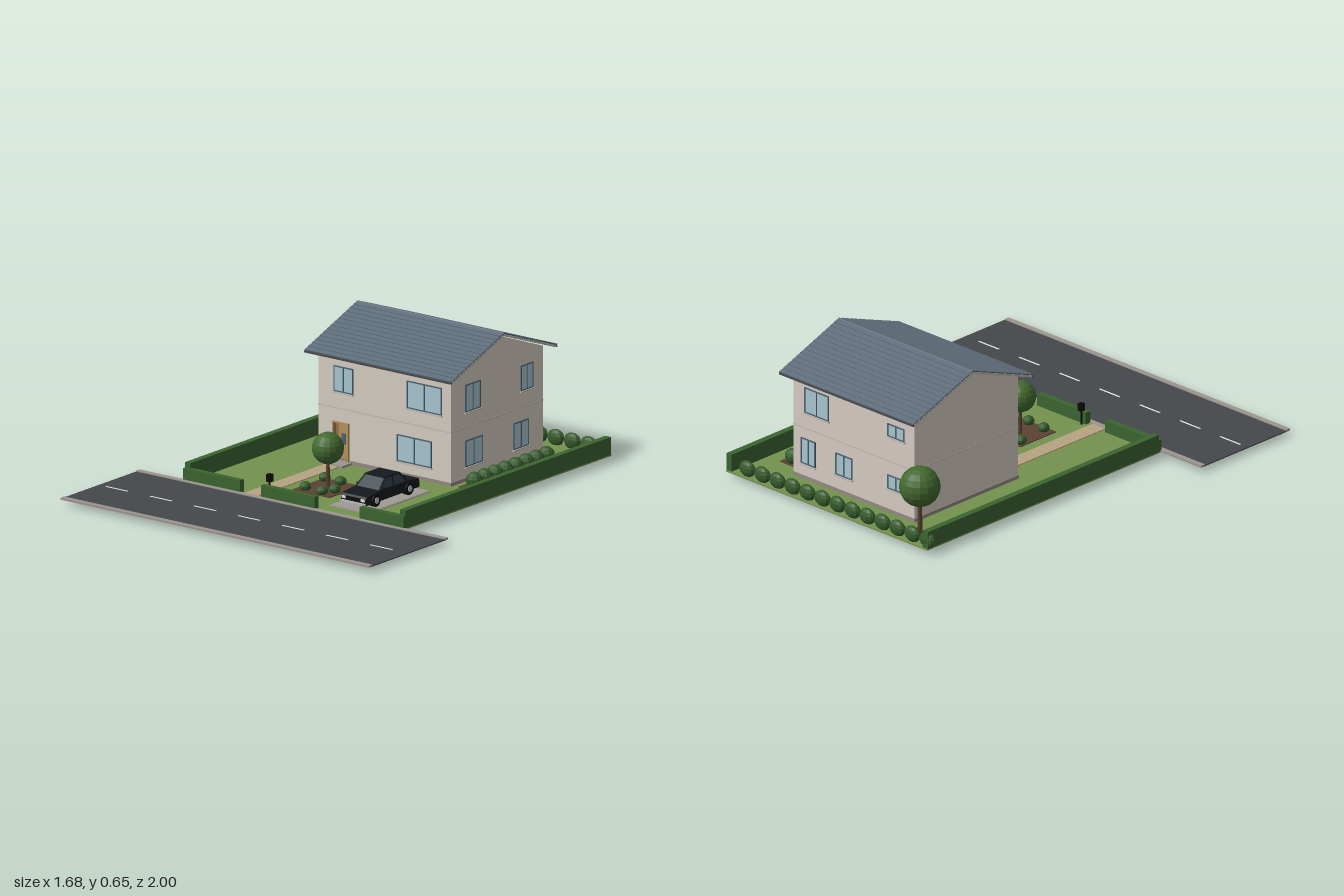
import * as THREE from 'three';

const mat = (color, flatShading = false) => new THREE.MeshStandardMaterial({ color, flatShading });
const M = {
  wall: mat(0xd6cdc3), trim: mat(0xc2bab0), stone: mat(0x948b84), roof: mat(0x5f6e7c), eave: mat(0x4a4a4c),
  glass: mat(0xa9c6d2), frame: mat(0x4d6472), wood: mat(0xb8935f), darkWood: mat(0x6b4a2e),
  grass: mat(0x74924f), hedge: mat(0x3b6430), leaf: mat(0x42692f, true), bush: mat(0x365c2c, true),
  trunk: mat(0x5a4230), soil: mat(0x5c4331), path: mat(0xb7a582), asphalt: mat(0x45484a),
  curb: mat(0x9c968f), line: mat(0xe4e4e0), pad: mat(0xa09a94), car: mat(0x15191d), carGlass: mat(0x35424c),
  tyre: mat(0x0c0c0d), chrome: mat(0xb8bcc0),
};

const add = (parent, name, geometry, material, x = 0, y = 0, z = 0) => {
  const mesh = new THREE.Mesh(geometry, material);
  mesh.name = name;
  mesh.position.set(x, y, z);
  parent.add(mesh);
  return mesh;
};
// box from its limits on each axis
const block = (parent, name, material, [x0, x1], [y0, y1], [z0, z1]) =>
  add(parent, name, new THREE.BoxGeometry(x1 - x0, y1 - y0, z1 - z0), material,
    (x0 + x1) / 2, (y0 + y1) / 2, (z0 + z1) / 2);
const section = (parent, name, parentPoints) => {
  const g = new THREE.Group();
  g.name = name;
  parent.add(g);
  return g;
};
// outline in (z, y) extruded along x, centred on x
const extrudeX = (points, width) => {
  const shape = new THREE.Shape(points.map(([z, y]) => new THREE.Vector2(-z, y)));
  return new THREE.ExtrudeGeometry(shape, { depth: width, bevelEnabled: false })
    .translate(0, 0, -width / 2).rotateY(Math.PI / 2);
};

const G = 0.026; // ground level

// window in its own plane facing +z, from u0..u1 and y0..y1
function addWindow(wall, u0, u1, y0, y1, panes = 2) {
  const w = section(wall, 'window');
  const t = 0.005;
  block(w, 'glass', M.glass, [u0, u1], [y0, y1], [-0.004, 0.002]);
  for (let i = 0; i <= panes; i++) {
    const u = u0 + (u1 - u0) * i / panes;
    block(w, 'windowPost', M.frame, [u - t / 2, u + t / 2], [y0, y1], [-0.004, 0.005]);
  }
  for (const y of [y0, y1]) block(w, 'windowRail', M.frame, [u0 - t / 2, u1 + t / 2], [y - t / 2, y + t / 2], [-0.004, 0.005]);
  block(w, 'windowSill', M.trim, [u0 - 0.006, u1 + 0.006], [y0 - 0.009, y0 - 0.003], [-0.004, 0.009]);
}

function buildHouse(root) {
  const house = section(root, 'house');
  house.position.z = -0.5;
  block(house, 'foundation', M.stone, [-0.36, 0.36], [0, 0.04], [-0.32, 0.32]);
  block(house, 'plinth', M.stone, [-0.363, 0.363], [G, 0.042], [-0.323, 0.323]);
  add(house, 'walls', extrudeX([[-0.32, 0.03], [0.32, 0.03], [0.32, 0.508], [0, 0.628], [-0.32, 0.508]], 0.72), M.wall);
  block(house, 'floorBand', M.trim, [-0.3615, 0.3615], [0.263, 0.268], [-0.3215, 0.3215]);

  // roof: underside slab, light gable boards and overlapping tile courses
  const roof = section(house, 'roof');
  const chevron = (d) => [[-0.364, 0.497 + d], [0, 0.63 + d], [0.364, 0.497 + d], [0.364, 0.506 + d], [0, 0.64 + d], [-0.364, 0.506 + d]].reverse();
  add(roof, 'roofDeck', extrudeX(chevron(0), 0.79), M.eave);
  for (const s of [-1, 1]) add(roof, 'gableBoard', extrudeX(chevron(0.0005), 0.007), M.trim, s * 0.3965);
  const slope = Math.atan2(0.134, 0.364), rows = 14, run = 0.388 / rows;
  for (const s of [-1, 1]) {
    const side = section(roof, 'roofSlope');
    for (let i = 0; i < rows; i++) {
      const f = (i + 0.5) / rows;
      const tile = add(side, 'tileCourse', new THREE.BoxGeometry(0.8, 0.005, run * 1.12), M.roof,
        0, 0.6435 - 0.134 * f, s * 0.366 * f);
      tile.rotation.x = s * (slope - 0.09);
    }
  }
  const cap = add(roof, 'ridgeCap', new THREE.CylinderGeometry(0.007, 0.007, 0.8, 8), M.roof, 0, 0.64, 0);
  cap.rotation.z = Math.PI / 2;
  for (const s of [-1, 1]) block(roof, 'gutter', M.eave, [-0.4, 0.4], [0.499, 0.507], [s * 0.365 - 0.004, s * 0.365 + 0.004]);

  const wallPlane = (name, x, z, turn) => {
    const g = section(house, name);
    g.position.set(x, 0, z);
    g.rotation.y = turn;
    return g;
  };
  const front = wallPlane('frontWall', 0, 0.32, 0);
  addWindow(front, -0.273, -0.173, 0.342, 0.452);
  addWindow(front, 0.126, 0.31, 0.337, 0.455);
  addWindow(front, 0.071, 0.255, 0.092, 0.206);
  const left = wallPlane('leftWall', 0.36, 0, Math.PI / 2);
  addWindow(left, -0.22, -0.12, 0.337, 0.455);
  addWindow(left, 0.165, 0.245, 0.343, 0.452);
  addWindow(left, -0.22, -0.105, 0.092, 0.206);
  addWindow(left, 0.115, 0.215, 0.092, 0.206);
  const back = wallPlane('backWall', 0, -0.32, Math.PI);
  addWindow(back, -0.29, -0.15, 0.342, 0.455);
  addWindow(back, 0.205, 0.3, 0.385, 0.44);
  addWindow(back, -0.31, -0.23, 0.1, 0.215);
  addWindow(back, -0.105, -0.01, 0.11, 0.206);
  addWindow(back, 0.205, 0.3, 0.14, 0.2);

  // entrance with a side light and a step
  const door = section(front, 'entrance');
  block(door, 'doorRecess', M.darkWood, [-0.276, -0.192], [0.04, 0.205], [-0.004, 0.002]);
  block(door, 'doorLeaf', M.wood, [-0.247, -0.198], [0.045, 0.2], [0, 0.006]);
  block(door, 'doorGlass', M.frame, [-0.228, -0.206], [0.112, 0.16], [0, 0.008]);
  for (const x of [-0.276, -0.251, -0.194]) block(door, 'doorPost', M.wood, [x - 0.003, x + 0.003], [0.035, 0.207], [-0.002, 0.01]);
  block(door, 'doorHead', M.wood, [-0.279, -0.191], [0.201, 0.207], [-0.002, 0.01]);
  add(door, 'doorKnob', new THREE.SphereGeometry(0.004, 8, 6), M.chrome, -0.241, 0.115, 0.009);
  block(house, 'doorStep', M.curb, [-0.29, -0.175], [0.02, 0.036], [0.32, 0.392]);
}

function buildRoad(root) {
  const road = section(root, 'road');
  block(road, 'asphalt', M.asphalt, [-0.84, 0.84], [0.022, 0.027], [0.47, 0.98]);
  for (const z of [0.45, 0.975]) block(road, 'curb', M.curb, [-0.84, 0.84], [0.022, 0.031], [z, z + 0.025]);
  for (let i = 0; i < 7; i++) {
    const x = -0.74 + i * 0.24;
    block(road, 'laneDash', M.line, [x - 0.06, x + 0.06], [0.026, 0.0285], [0.731, 0.739]);
  }
}

function addTree(parent, x, z, y, r) {
  const tree = section(parent, 'tree');
  tree.position.set(x, 0, z);
  add(tree, 'trunk', new THREE.CylinderGeometry(r * 0.09, r * 0.13, y - G, 8), M.trunk, 0, (y + G) / 2, 0);
  add(tree, 'crown', new THREE.SphereGeometry(r, 16, 10), M.leaf, 0, y, 0);
}
const addBush = (parent, x, z, rx, ry, rz) =>
  add(parent, 'bush', new THREE.SphereGeometry(1, 10, 7), M.bush, x, G + ry * 0.85, z).scale.set(rx, ry, rz);

function buildGarden(root) {
  const garden = section(root, 'garden');
  block(garden, 'lawn', M.grass, [-0.6, 0.6], [0.02, G], [-0.99, 0.45]);
  for (const s of [-1, 1]) block(garden, 'sideHedge', M.hedge, [s * 0.585 - 0.015, s * 0.585 + 0.015], [G, 0.105], [-0.985, 0.44]);
  for (const span of [[-0.6, -0.29], [-0.175, 0.115], [0.36, 0.6]]) block(garden, 'frontHedge', M.hedge, span, [G, 0.081], [0.427, 0.455]);

  // paved path
  block(garden, 'pathBase', M.trunk, [-0.268, -0.197], [G, G + 0.001], [-0.11, 0.45]);
  for (let i = 0; i < 12; i++) {
    const z = -0.11 + i * 0.0467;
    block(garden, 'pathSlab', M.path, [-0.27, -0.195], [G, G + 0.004], [z + 0.001, z + 0.0455]);
  }
  // planting beds and shrubs
  block(garden, 'sideBed', M.soil, [0.395, 0.495], [G, G + 0.004], [-0.765, -0.19]);
  for (let i = 0; i < 8; i++) addBush(garden, 0.445, -0.235 - i * 0.0715, 0.038, 0.037, 0.034);
  for (let i = 0; i < 13; i++) addBush(garden, 0.495 - i * 0.0895, -0.965, 0.044, 0.037, 0.023);
  block(garden, 'frontBed', M.soil, [-0.14, 0.06], [G, G + 0.004], [0.06, 0.28]);
  for (const [x, z] of [[-0.115, 0.09], [-0.025, 0.095], [0.03, 0.205], [0.003, 0.258], [-0.095, 0.25]]) addBush(garden, x, z, 0.026, 0.022, 0.026);
  addTree(garden, -0.48, -0.91, 0.26, 0.09);
  addTree(garden, -0.042, 0.16, 0.204, 0.07);

  // letter box on a post
  const box = section(garden, 'letterBox');
  box.position.set(-0.16, 0, 0.415);
  block(box, 'post', M.tyre, [-0.003, 0.003], [G, 0.095], [-0.003, 0.003]);
  block(box, 'box', M.tyre, [-0.011, 0.011], [0.092, 0.125], [-0.012, 0.012]);

  // parking pad
  block(garden, 'padEdge', M.curb, [0.13, 0.345], [G, G + 0.003], [-0.065, 0.375]);
  block(garden, 'pad', M.pad, [0.136, 0.339], [G, G + 0.005], [-0.059, 0.369]);
}

function buildCar(root) {
  const car = section(root, 'car');
  car.position.set(0.238, 0.03, 0.155);
  // lower body with long hood, then a cabin tapering to the roof
  add(car, 'body', extrudeX([[-0.185, 0.02], [0.182, 0.018], [0.186, 0.045], [0.178, 0.055], [0.07, 0.066],
    [-0.1, 0.066], [-0.182, 0.06], [-0.187, 0.04]], 0.136), M.car);
  const cabin = new THREE.BoxGeometry(0.126, 0.044, 0.19);
  const p = cabin.attributes.position;
  for (let i = 0; i < p.count; i++) if (p.getY(i) > 0) {
    p.setX(i, p.getX(i) * 0.84);
    p.setZ(i, p.getZ(i) > 0 ? 0.045 : -0.055);
  }
  cabin.computeVertexNormals();
  add(car, 'cabinGlass', cabin, M.carGlass, 0, 0.086, -0.01);
  block(car, 'roofPanel', M.car, [-0.055, 0.055], [0.105, 0.111], [-0.067, 0.037]);
  for (const s of [-1, 1]) {
    // pillars follow the tapered cabin corners
    for (const [zb, zt] of [[0.085, 0.035], [-0.012, -0.012], [-0.105, -0.065]]) {
      const curve = new THREE.LineCurve3(new THREE.Vector3(s * 0.063, 0.064, zb), new THREE.Vector3(s * 0.053, 0.107, zt));
      add(car, 'pillar', new THREE.TubeGeometry(curve, 1, 0.004, 6), M.car);
    }
    for (const z of [-0.115, 0.115]) {
      const wheel = add(car, 'wheel', new THREE.CylinderGeometry(0.028, 0.028, 0.024, 16), M.tyre, s * 0.06, 0.028, z);
      wheel.rotation.z = Math.PI / 2;
      const hub = add(car, 'hub', new THREE.CylinderGeometry(0.014, 0.014, 0.003, 12), M.chrome, s * 0.073, 0.028, z);
      hub.rotation.z = Math.PI / 2;
    }
    block(car, 'headlight', M.line, [s * 0.052 - 0.01, s * 0.052 + 0.01], [0.034, 0.046], [0.18, 0.188]);
    block(car, 'tailLight', mat(0x8a2020), [s * 0.052 - 0.01, s * 0.052 + 0.01], [0.038, 0.05], [-0.189, -0.18]);
    block(car, 'mirror', M.car, [s * 0.069 - 0.006, s * 0.069 + 0.006], [0.066, 0.075], [0.06, 0.068]);
    block(car, 'bumper', M.chrome, [-0.066, 0.066], [0.02, 0.027], [s * 0.187 - 0.004, s * 0.187 + 0.004]);
  }
  block(car, 'grille', M.tyre, [-0.038, 0.038], [0.032, 0.047], [0.18, 0.188]);
}

export function createModel() {
  const model = new THREE.Group();
  model.name = 'houseWithGarden';
  buildHouse(model);
  buildRoad(model);
  buildGarden(model);
  buildCar(model);
  return model;
}
